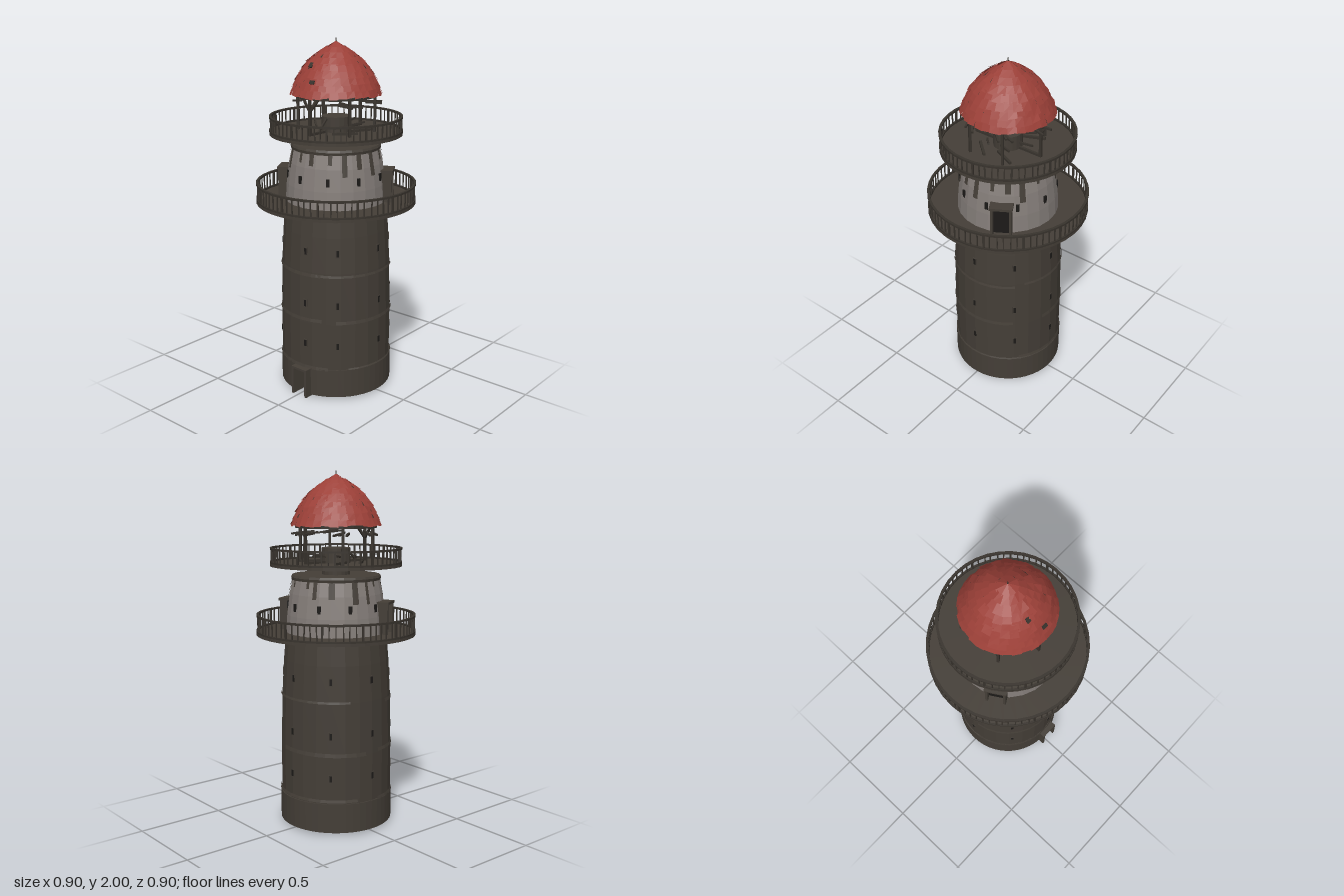
import * as THREE from 'three';

const mat = (name, color, opts = {}) => {
  const m = new THREE.MeshStandardMaterial({ color, flatShading: true, side: THREE.DoubleSide, ...opts });
  m.name = name;
  return m;
};

export function createModel() {
  const stone = mat('dark stone', 0x443e37);
  const plaster = mat('grey plaster', 0x857e7a);
  const tile = mat('red shingle', 0x9c4038);
  const wood = mat('dark wood', 0x38332d);
  const dark = mat('window black', 0x1c1a18);

  const root = new THREE.Group();
  root.name = 'lighthouse';
  let seed = 7;
  const rnd = () => (seed = (seed * 16807) % 2147483647) / 2147483647;
  const add = (name, geo, material, parent = root) => {
    const m = new THREE.Mesh(geo, material);
    m.name = name;
    parent.add(m);
    return m;
  };
  const group = (name) => {
    const g = new THREE.Group();
    g.name = name;
    root.add(g);
    return g;
  };
  const lathe = (name, pts, material, seg = 24, parent = root) =>
    add(name, new THREE.LatheGeometry(pts.map((p) => new THREE.Vector2(...p)), seg), material, parent);
  const box = (name, w, h, d, x, y, z, material, parent) => {
    const m = add(name, new THREE.BoxGeometry(w, h, d), material, parent);
    m.position.set(x, y, z);
    return m;
  };
  // Box between two points
  const beam = (name, a, b, t, material, parent) => {
    const A = new THREE.Vector3(...a), B = new THREE.Vector3(...b);
    const m = add(name, new THREE.BoxGeometry(t, t, A.distanceTo(B)), material, parent);
    m.position.copy(A).add(B).multiplyScalar(0.5);
    m.lookAt(B);
    return m;
  };
  // Group turned around the tower axis; its +z points outwards
  const spoke = (angle, parent) => {
    const g = new THREE.Group();
    g.rotation.y = angle;
    parent.add(g);
    return g;
  };

  // Base ring with an open doorway
  const mid = -Math.PI / 2 + 0.065, half = 0.165;
  const ring = new THREE.Shape();
  ring.absarc(0, 0, 0.32, mid + half, mid - half + Math.PI * 2, false);
  ring.absarc(0, 0, 0.27, mid - half + Math.PI * 2, mid + half, true);
  const ringGeo = new THREE.ExtrudeGeometry(ring, { depth: 0.165, bevelEnabled: false, curveSegments: 24 });
  ringGeo.rotateX(-Math.PI / 2).translate(0, 0.015, 0);
  add('baseWall', ringGeo, stone);
  const door = group('doorway');
  for (const s of [-1, 1]) box('doorJamb', 0.014, 0.165, 0.09, 0.02 + s * 0.048, 0.09, 0.307, stone, door);
  box('doorLintel', 0.11, 0.012, 0.09, 0.02, 0.17, 0.307, stone, door);

  // Tower shaft, inner wall and central column
  lathe('shaft', [[0.27, 0.18], [0.315, 0.18], [0.315, 0.45], [0.309, 0.75], [0.298, 0.95], [0.286, 1.09], [0.25, 1.09]], stone);
  lathe('innerWall', [[0.25, 1.08], [0.27, 0.18]], plaster);
  const col = add('centralColumn', new THREE.CylinderGeometry(0.08, 0.08, 1.57, 20), stone);
  col.position.y = 0.785;

  // Uneven stone ledges
  const ledges = group('ledges');
  for (const [y, r] of [[0.19, 0.318], [0.46, 0.316], [0.74, 0.311], [1.07, 0.29]]) {
    for (let i = 0; i < 3; i++) {
      const h = 0.008 + rnd() * 0.014;
      const g = new THREE.CylinderGeometry(r, r + 0.004, h, 9, 1, true, i * 2.1 + rnd(), 1.6 + rnd() * 0.5);
      const m = add('ledge', g, stone, ledges);
      m.position.y = y + (rnd() - 0.5) * 0.025;
      m.rotation.z = (rnd() - 0.5) * 0.03;
    }
  }

  // Plastered upper storey with its stone cap
  lathe('upperStorey', [[0.284, 1.09], [0.277, 1.2], [0.262, 1.32], [0.244, 1.4]], plaster);
  lathe('cap', [[0.24, 1.395], [0.25, 1.395], [0.253, 1.41], [0.247, 1.422], [0, 1.422]], stone);

  // Weathered drips running down the plaster
  const drips = group('drips');
  for (let i = 0; i < 18; i++) {
    const len = 0.03 + rnd() * 0.1, rb = 0.248 + len * 0.2;
    const g = new THREE.CylinderGeometry(0.249, rb, len, 2, 1, true, i * 0.349 + rnd() * 0.2, 0.05 + rnd() * 0.09);
    add('drip', g, stone, drips).position.y = 1.398 - len / 2;
  }

  // Slit windows
  const windows = group('windows');
  for (const [y, r] of [[0.325, 0.314], [0.565, 0.311], [0.865, 0.302]])
    for (const deg of [7, 42, 90, 135, 180, 225, 270, 318]) {
      const s = spoke(THREE.MathUtils.degToRad(deg), windows);
      box('slitFrame', 0.024, 0.046, 0.008, 0, y, r - 0.002, stone, s);
      box('slitWindow', 0.014, 0.036, 0.009, 0, y, r, dark, s);
    }
  for (let i = 0; i < 10; i++) {
    const s = spoke(-0.09 + i * Math.PI / 5, windows);
    box('upperSlit', 0.018, 0.042, 0.009, 0, 1.25, 0.271, dark, s);
  }

  // Two doors opening on to the lower gallery
  for (const a of [2.11, 2.11 + Math.PI]) {
    const g = spoke(a, root);
    g.name = 'galleryDoor';
    for (const s of [-1, 1]) box('jamb', 0.014, 0.17, 0.07, s * 0.05, 1.185, 0.285, stone, g);
    box('lintel', 0.125, 0.014, 0.08, 0, 1.274, 0.285, stone, g);
    box('opening', 0.09, 0.17, 0.009, 0, 1.185, 0.282, dark, g);
  }

  // Round galleries with railings
  const gallery = (name, r, inner, y, railTop, count) => {
    const g = group(name);
    lathe('deck', [[inner, y], [r, y], [r, y + 0.016], [inner, y + 0.016]], stone, 36, g);
    const rail = (h, t, d) => lathe('rail', [[r - d, h - t], [r, h - t], [r, h], [r - d, h], [r - d, h - t]], wood, 36, g);
    rail(railTop, 0.011, 0.014);
    rail(y + 0.026, 0.01, 0.01);
    for (let i = 0; i < count; i++) {
      const s = spoke((i / count) * Math.PI * 2 + (rnd() - 0.5) * 0.02, g);
      const t = i % 6 === 0 ? 0.01 : 0.006;
      const p = box('baluster', t, railTop - y - 0.012, t, 0, (railTop + y) / 2, r - 0.008, wood, s);
      p.rotation.z = (rnd() - 0.5) * 0.06;
    }
  };
  gallery('lowerGallery', 0.45, 0.25, 1.085, 1.2, 78);
  gallery('upperGallery', 0.37, 0.0, 1.47, 1.572, 66);

  // Timber posts and braces under the roof
  const frame = group('roofFrame');
  for (let i = 0; i < 6; i++) {
    const s = spoke((i * Math.PI) / 3, frame);
    box('post', 0.014, 0.21, 0.014, 0, 1.585, 0.215, wood, s);
    for (const k of [-1, 1]) beam('brace', [0, 1.615, 0.215], [k * 0.055, 1.685, 0.208], 0.011, wood, s);
    beam('innerBrace', [0, 1.615, 0.215], [0, 1.69, 0.15], 0.011, wood, s);
    beam('floorBeam', [0, 1.492, 0.08], [0, 1.492, 0.215], 0.014, wood, s);
    beam('footBrace', [0, 1.56, 0.08], [0, 1.492, 0.15], 0.01, wood, s);
  }
  lathe('ringBeam', [[0.2, 1.68], [0.228, 1.68], [0.228, 1.7], [0.2, 1.7], [0.2, 1.68]], wood, 24, frame);

  // Domed roof: timber shell covered by overlapping rows of loose shingles
  const profile = [[0.246, 1.7], [0.233, 1.733], [0.219, 1.766], [0.203, 1.799], [0.182, 1.831],
    [0.157, 1.862], [0.126, 1.891], [0.092, 1.917], [0.054, 1.942], [0.004, 1.968]];
  lathe('roofShell', profile.map(([r, y]) => [Math.max(r - 0.01, 0), y - 0.003]), wood, 28);
  const roof = group('shingles');
  for (let i = 0; i < profile.length - 1; i++) {
    const [r0, y0] = profile[i], [r1, y1] = profile[i + 1];
    const n = Math.max(9, Math.round(r0 * 140)), pos = [];
    for (let k = 0; k < n; k++) {
      const a = ((k + (i % 2) / 2) / n) * Math.PI * 2, b = a + (Math.PI * 2.1) / n;
      const flare = 0.004 + rnd() * 0.008, drop = rnd() * 0.012, tilt = (rnd() - 0.5) * 0.008;
      const at = (t, r, y) => [Math.sin(t) * r, y, Math.cos(t) * r];
      const A = at(a, r0 + flare, y0 - drop + tilt), B = at(b, r0 + flare, y0 - drop - tilt);
      const C = at(b, r1, y1 + 0.004), D = at(a, r1, y1 + 0.004);
      pos.push(...A, ...B, ...C, ...A, ...C, ...D);
    }
    const g = new THREE.BufferGeometry();
    g.setAttribute('position', new THREE.Float32BufferAttribute(pos, 3));
    g.computeVertexNormals();
    add('shingleRow', g, tile, roof);
  }
  // Gaps where shingles are missing
  for (const [x, y, z, w, h, tip] of [[-0.035, 1.856, 0.162, 0.022, 0.03, -0.75], [0.022, 1.775, 0.222, 0.03, 0.02, -0.42]])
    box('missingShingle', w, h, 0.008, x, y, z, wood, roof).rotation.x = tip;
  const spike = add('finial', new THREE.ConeGeometry(0.007, 0.045, 6), wood);
  spike.position.y = 1.9775;

  return root;
}
